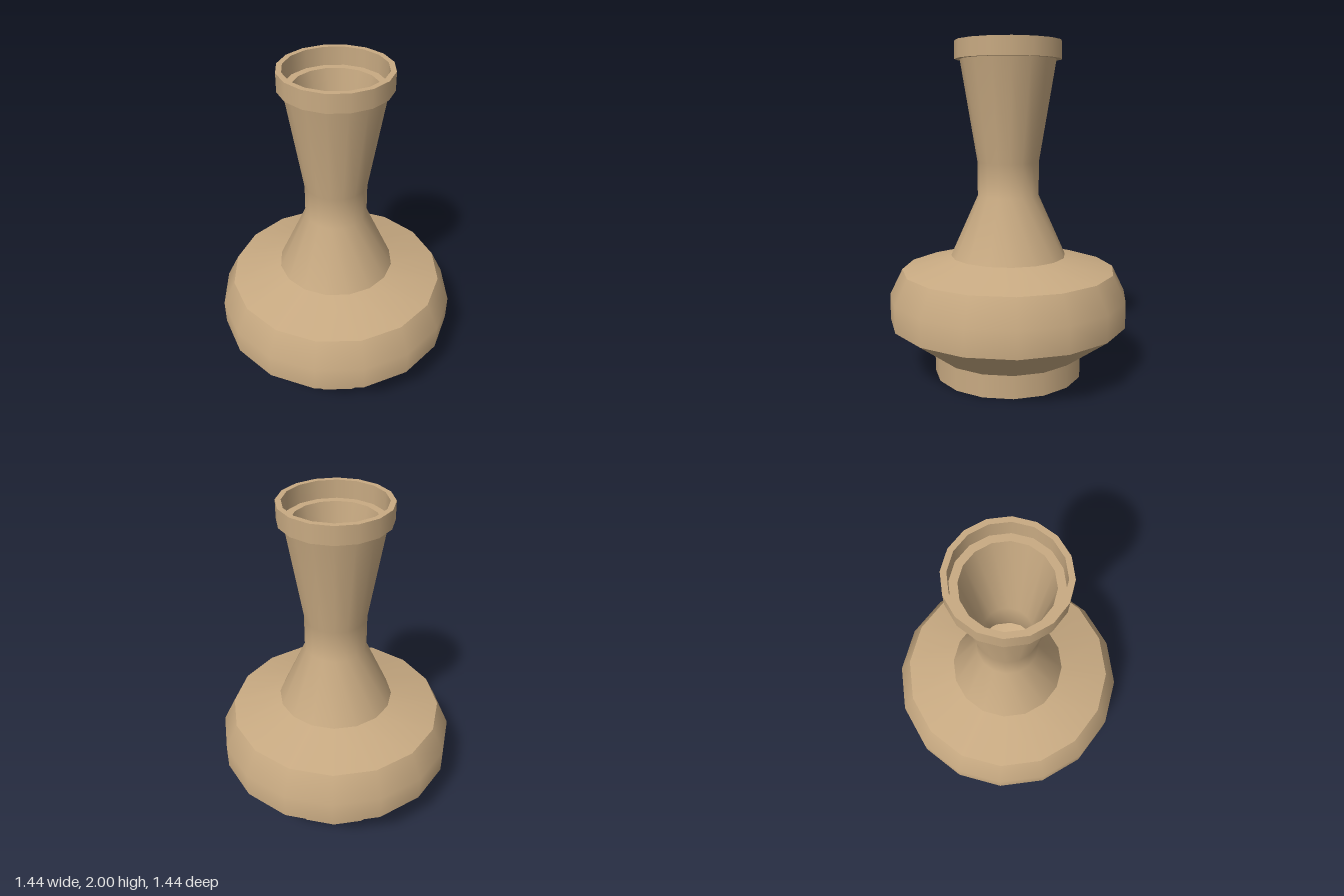
import * as THREE from 'three';

const SIDES = 16;

export function createModel() {
  const vase = new THREE.Group();
  vase.name = 'vase';
  const clay = new THREE.MeshStandardMaterial({ color: 0xc8aa82 });
  clay.name = 'clay';

  // Each band is smooth in itself; edges between bands stay sharp.
  // Profiles are [radius, height], running up the outside and down the inside.
  const bands = {
    footBase: [[0, 0], [0.453, 0]],
    foot: [[0.453, 0], [0.453, 0.137]],
    bellyUnderside: [[0.453, 0.137], [0.722, 0.337]],
    belly: [[0.722, 0.337], [0.722, 0.492], [0.645, 0.648]],
    shoulder: [[0.645, 0.648], [0.348, 0.73]],
    neck: [[0.348, 0.73], [0.184, 1.095], [0.184, 1.295], [0.284, 1.895]],
    rimUnderside: [[0.284, 1.895], [0.315, 1.895]],
    rimOuter: [[0.315, 1.895], [0.315, 2]],
    rimTop: [[0.315, 2], [0.284, 2]],
    rimInner: [[0.284, 2], [0.284, 1.895]],
    rimLedge: [[0.284, 1.895], [0.24, 1.895]],
    throat: [[0.24, 1.895], [0.145, 1.295], [0.145, 1.095], [0.3, 0.7]],
    innerShoulder: [[0.3, 0.7], [0.61, 0.615]],
    innerBelly: [[0.61, 0.615], [0.68, 0.48], [0.68, 0.36], [0.42, 0.17]],
    innerFloor: [[0.42, 0.17], [0, 0.17]],
  };

  for (const [name, profile] of Object.entries(bands)) {
    const points = profile.map(([r, y]) => new THREE.Vector2(r, y));
    const mesh = new THREE.Mesh(new THREE.LatheGeometry(points, SIDES), clay);
    mesh.name = name;
    vase.add(mesh);
  }
  return vase;
}
